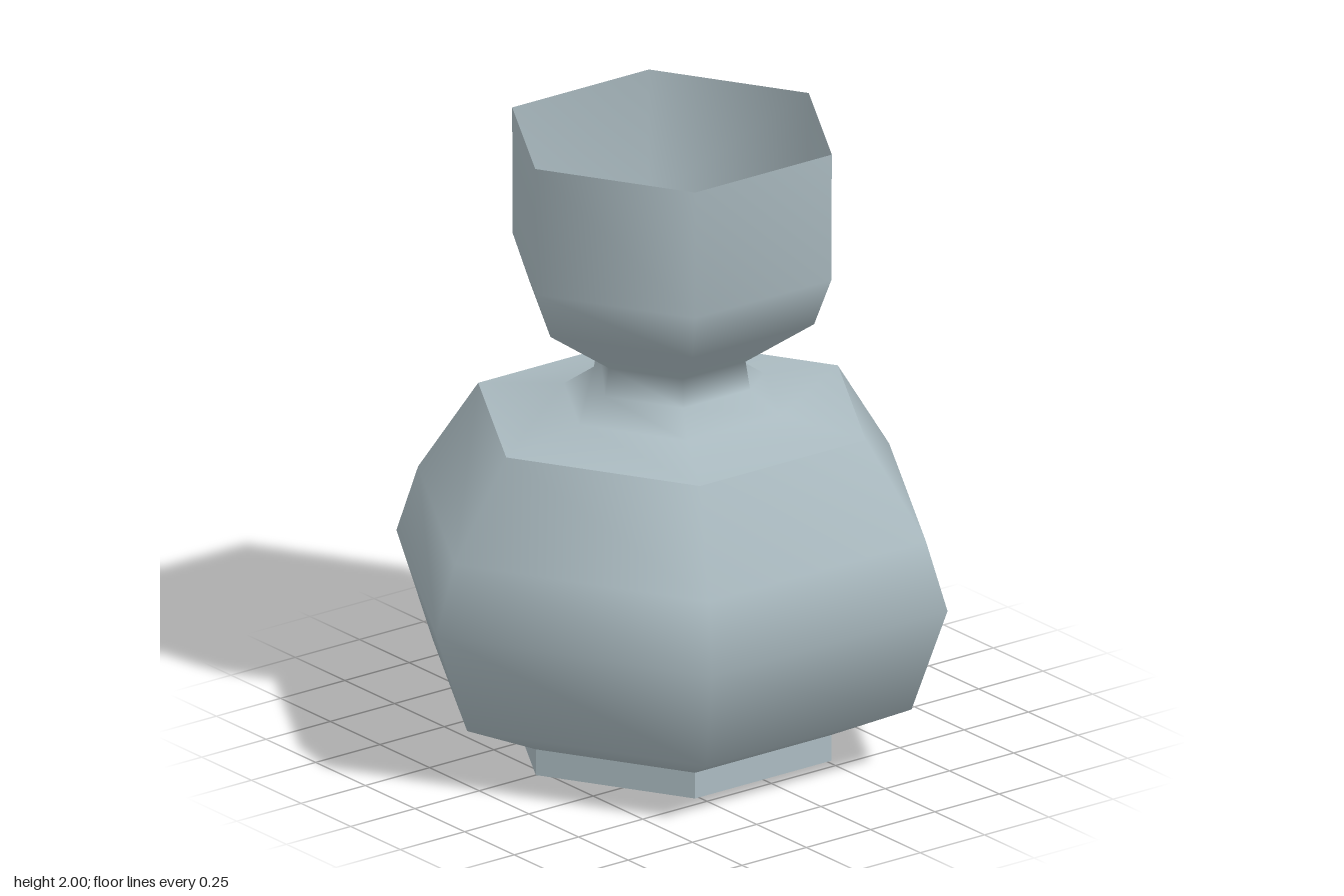
import * as THREE from 'three';

const SIDES = 6;

export function createModel() {
  const model = new THREE.Group();
  model.name = 'vase';
  // double-sided because the cup is a thin open shell
  const glaze = new THREE.MeshStandardMaterial({ color: 0xabbbc1, side: THREE.DoubleSide });
  glaze.name = 'grey blue glaze';

  function add(name, geometry) {
    const mesh = new THREE.Mesh(geometry, glaze);
    mesh.name = name;
    model.add(mesh);
    return mesh;
  }

  // six-sided smooth shell with corners on the x axis
  function shell(name, profile) {
    const points = profile.map(([r, y]) => new THREE.Vector2(r, y));
    return add(name, new THREE.LatheGeometry(points, SIDES, Math.PI / 2));
  }

  // flat-sided foot with its underside
  const foot = new THREE.CylinderGeometry(0.53, 0.53, 0.085, SIDES, 1, false, Math.PI / 2)
    .toNonIndexed();
  foot.computeVertexNormals();
  add('foot', foot).position.y = 0.0425;

  // round belly, up to the shoulder edge
  shell('belly', [[0.53, 0.085], [0.797, 0.208], [0.917, 0.55], [0.845, 0.77], [0.645, 1.075]]);

  // shoulder and narrow neck, flowing into the open cup
  shell('neckAndCup', [
    [0.645, 1.075], [0.36, 1.115], [0.26, 1.185], [0.245, 1.275],
    [0.473, 1.432], [0.53, 1.585], [0.532, 2],
  ]);

  // flat floor inside the cup
  const floor = add('cupFloor', new THREE.CircleGeometry(0.245, SIDES));
  floor.rotation.x = -Math.PI / 2;
  floor.position.y = 1.275;

  return model;
}
